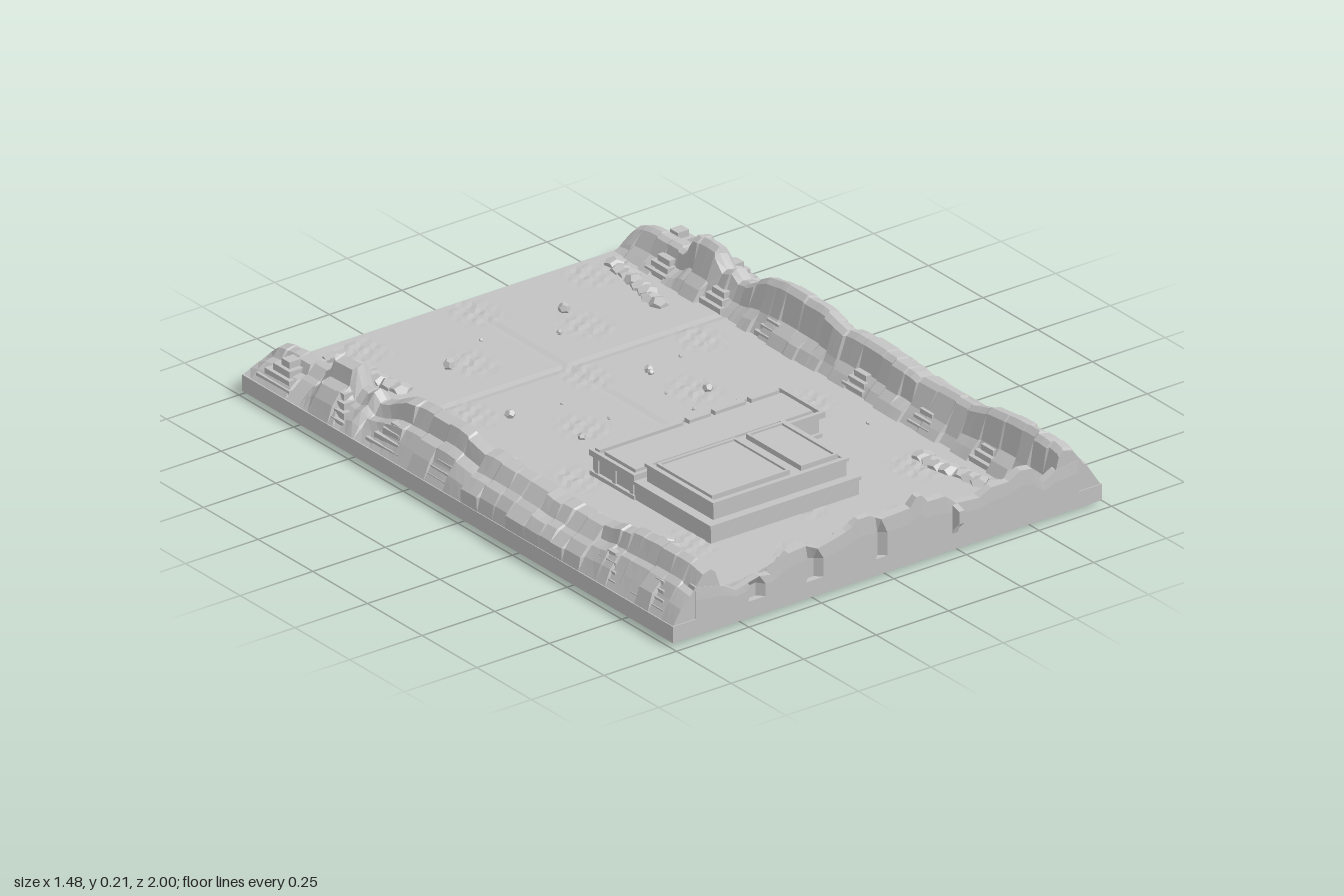
import * as THREE from 'three';

const stone = new THREE.MeshStandardMaterial({ color: 0xc2c2c2, side: THREE.DoubleSide });
stone.name = 'grey stone';
const GROUND = 0.06;

let seed = 7;
const rnd = () => (seed = (seed * 16807) % 2147483647) / 2147483647;
const jit = a => (rnd() - 0.5) * 2 * a;

function add(parent, name, geometry) {
  const mesh = new THREE.Mesh(geometry, stone);
  mesh.name = name;
  parent.add(mesh);
  return mesh;
}

function box(parent, name, x0, x1, y0, y1, z0, z1) {
  const m = add(parent, name, new THREE.BoxGeometry(x1 - x0, y1 - y0, z1 - z0));
  m.position.set((x0 + x1) / 2, (y0 + y1) / 2, (z0 + z1) / 2);
  return m;
}

// Rectangular rim with an open middle, lying flat
function frame(parent, name, x0, x1, z0, z1, y0, y1, w) {
  const rect = (C, a, b, c, d) => new C([[a, c], [b, c], [b, d], [a, d]].map(p => new THREE.Vector2(...p)));
  const s = rect(THREE.Shape, x0, x1, -z1, -z0);
  s.holes.push(rect(THREE.Path, x0 + w, x1 - w, -z1 + w, -z0 - w));
  const g = new THREE.ExtrudeGeometry(s, { depth: y1 - y0, bevelEnabled: false });
  g.rotateX(-Math.PI / 2).translate(0, y0, 0);
  return add(parent, name, g);
}

// Faceted skin over a row of cross-sections, capped at both ends
function loft(sections) {
  const out = [];
  const tri = (a, b, c) => out.push(...a, ...b, ...c);
  const n = sections[0].length;
  for (let i = 0; i + 1 < sections.length; i++) {
    const a = sections[i], b = sections[i + 1];
    for (let k = 0; k + 1 < n; k++) {
      tri(a[k], a[k + 1], b[k]);
      tri(a[k + 1], b[k + 1], b[k]);
    }
  }
  const last = sections[sections.length - 1];
  for (let k = 1; k + 1 < n; k++) {
    tri(sections[0][0], sections[0][k + 1], sections[0][k]);
    tri(last[0], last[k], last[k + 1]);
  }
  const g = new THREE.BufferGeometry();
  g.setAttribute('position', new THREE.Float32BufferAttribute(out, 3));
  g.computeVertexNormals();
  return g;
}

function sample(profile, t) {
  for (let i = 0; i + 1 < profile.length; i++) {
    const [a, ya] = profile[i], [b, yb] = profile[i + 1];
    if (t <= b) return ya + (yb - ya) * Math.max(0, (t - a) / (b - a));
  }
  return profile[profile.length - 1][1];
}

// Slab with faint ripples on top, shallow seams and low swellings below
function base() {
  const g = new THREE.BoxGeometry(1.48, 0.05, 1.97, 74, 1, 98).translate(0, 0.035, -0.015);
  const p = g.attributes.position;
  for (let i = 0; i < p.count; i++) {
    const x = p.getX(i), z = p.getZ(i);
    if (p.getY(i) > 0.03) {
      if (Math.abs(x) > 0.6 || z < -0.98) continue;
      const patch = Math.max(0, Math.sin(x * 16 + 1.5) * Math.sin(z * 12.6 + 0.6) - 0.35);
      const ripple = Math.round(2 * Math.sin(x * 70 + z * 55) * Math.sin(z * 90));
      const seam = (Math.abs(x) < 0.005 && z < 0) || Math.abs(z + 0.5) < 0.0101;
      p.setY(i, GROUND + patch * ripple * 0.003 - (seam ? 0.003 : 0));
    } else {
      let d = 0;
      for (const cx of [-0.4, 0, 0.34, 0.57]) for (const cz of [0.85, 0.35, -0.15, -0.65])
        d = Math.max(d, 1 - ((x - cx) / 0.11) ** 2 - ((z - cz) / 0.11) ** 2);
      p.setY(i, 0.01 - 0.01 * Math.min(1, d * 1.5));
    }
  }
  const flat = g.toNonIndexed();
  flat.computeVertexNormals();
  return flat;
}

// Jagged cliff along one long side
const cliffTop = [[-1, 0.1], [-0.97, 0.13], [-0.9, 0.145], [-0.73, 0.145], [-0.71, 0.205], [-0.61, 0.21],
  [-0.59, 0.15], [-0.55, 0.15], [-0.53, 0.17], [-0.5, 0.142], [-0.46, 0.155], [-0.38, 0.2], [-0.3, 0.213],
  [-0.12, 0.212], [-0.01, 0.185], [0.03, 0.19], [0.3, 0.182], [0.32, 0.175], [0.56, 0.18], [0.62, 0.2],
  [0.75, 0.213], [0.9, 0.215], [0.97, 0.2]];

function cliff(side) {
  const sections = [];
  let z = -1;
  while (z < 0.965) {
    const end = Math.min(0.97, z + 0.04 + rnd() * 0.05);
    const j = [jit(0.008), jit(0.007), jit(0.006), jit(0.012), jit(0.006)];
    const wide = z > -0.02 && z < 0.47 ? 0.02 : 0;
    for (const zz of [z + 0.003, (z + end) / 2, end - 0.003]) {
      const h = sample(cliffTop, zz) + j[4] * 0.6, r = h - GROUND;
      sections.push([[0.738, 0], [0.71 + wide + j[0], 0.32], [0.685 + wide + j[1], 0.55], [0.66 + wide, 0.62 + j[2] * 5],
        [0.64 + wide / 2 + j[1], 0.94], [0.61 + j[2], 1], [0.594 + j[2], 0.9], [0.572 + j[1], 0.38],
        [0.552 + j[3], 0.22], [0.53 + j[3], 0]].map(([x, t]) => [side * x, GROUND - 0.002 + t * r, zz]));
    }
    z = end;
  }
  return loft(sections);
}

// Wall of rock closing the front edge, flat on its outer face
const frontTop = [[-0.66, 0.16], [-0.57, 0.14], [-0.52, 0.11], [-0.44, 0.13], [-0.4, 0.122], [-0.34, 0.17], [-0.28, 0.175],
  [-0.24, 0.155], [-0.19, 0.165], [-0.13, 0.18], [-0.1, 0.203], [-0.05, 0.203], [-0.03, 0.18], [0.08, 0.185],
  [0.1, 0.213], [0.12, 0.213], [0.14, 0.187], [0.2, 0.185], [0.24, 0.152], [0.32, 0.145], [0.36, 0.165], [0.42, 0.165],
  [0.46, 0.187], [0.51, 0.18], [0.53, 0.12], [0.58, 0.15], [0.66, 0.16]];

function frontWall() {
  const sections = [];
  for (let i = 0; i <= 66; i++) {
    const x = -0.66 + i * 0.02, h = sample(frontTop, x), r = h - GROUND, j = jit(0.012);
    const dent = [-0.45, -0.25, -0.02].some(c => Math.abs(x - c) < 0.011) ? 0.02 : 0;
    sections.push([[0.97 - dent, 0], [0.97 - dent, 0.6], [0.968, 0.98], [0.945 + j / 2, 1], [0.925 + j / 2, 0.65],
      [0.9 + j, 0.55], [0.885 + j, 0.25], [0.86 + j, 0.18], [0.85 + j, 0]]
      .map(([z, t]) => [x, GROUND - 0.002 + t * r, z]));
  }
  return loft(sections);
}

function building() {
  const g = new THREE.Group();
  g.name = 'building';
  // Main block in two tiers
  box(g, 'lowerTier', -0.345, 0.165, 0.055, 0.115, 0.27, 0.62);
  frame(g, 'lowerLedge', -0.35, 0.17, 0.27, 0.625, 0.106, 0.117, 0.03);
  box(g, 'upperTier', -0.32, 0.14, 0.11, 0.165, 0.295, 0.598);
  frame(g, 'roofRim', -0.325, 0.145, 0.29, 0.603, 0.162, 0.172, 0.015);
  for (const [x0, x1] of [[-0.31, -0.04], [-0.002, 0.125]]) {
    box(g, 'roofPanel', x0 + 0.01, x1 - 0.01, 0.16, 0.176, 0.335, 0.568);
    frame(g, 'roofPanelRim', x0, x1, 0.325, 0.578, 0.16, 0.181, 0.008);
  }
  // Long rear wing
  box(g, 'wing', -0.34, 0.29, 0.055, 0.128, 0.085, 0.265);
  frame(g, 'wingRim', -0.35, 0.31, 0.07, 0.275, 0.118, 0.136, 0.012);
  box(g, 'wingRoof', -0.33, 0.28, 0.12, 0.14, 0.115, 0.255);
  box(g, 'wingPlinth', -0.35, 0.3, 0.055, 0.072, 0.072, 0.275);
  for (const [x0, x1] of [[-0.34, -0.05], [-0.03, 0.045], [0.06, 0.165], [0.185, 0.28]])
    box(g, 'parapet', x0, x1, 0.13, 0.143, 0.083, 0.104);
  for (const x of [-0.34, -0.2, -0.06, 0.05, 0.17, 0.28])
    box(g, 'pillar', x, x + 0.018, 0.06, 0.122, 0.074, 0.09);
  for (const z of [0.09, 0.17, 0.25]) for (const x of [-0.346, 0.286])
    box(g, 'sidePillar', x, x + 0.01, 0.06, 0.122, z, z + 0.015);
  return g;
}

export function createModel() {
  const model = new THREE.Group();
  model.name = 'walledSite';
  add(model, 'groundSlab', base());
  add(model, 'frontWall', frontWall());
  // Pointed spur on the front wall
  add(model, 'spur', loft([0.225, 0.243].map(x =>
    [[0.96, 0.06], [0.97, 0.06], [0.98, 0.09], [1, 0.1], [1, 0.138], [0.96, 0.15]].map(([z, y]) => [x, y, z]))));

  for (const side of [-1, 1]) {
    const tag = side < 0 ? 'right' : 'left';
    add(model, tag + 'Cliff', cliff(side));
    const block = (name, a, b, ...rest) => box(model, name, Math.min(side * a, side * b), Math.max(side * a, side * b), ...rest);
    // Stepped outcrops on the outer and inner faces
    for (const z of [0.83, 0.61, -0.13, -0.38, -0.63, -0.88]) {
      for (let k = 0; k < 4; k++) {
        const w = 0.075 - k * 0.015;
        block('outcrop', 0.65, 0.725 - k * 0.012, GROUND - 0.005, 0.08 + k * 0.02, z - w + k * 0.008, z + w);
      }
    }
    for (const z of [0.68, 0.4, 0.1, -0.3, -0.55, -0.8])
      for (let k = 0; k < 3; k++)
        block('innerLedge', 0.535 + k * 0.013, 0.6, GROUND - 0.005, 0.076 + k * 0.018, z - 0.05 + k * 0.012, z + 0.045 - k * 0.008);
    // Low heaps of rubble beside the cliffs
    for (const [z0, z1] of [[-0.93, -0.66], [0.54, 0.8]])
      for (let k = 0; k < 8; k++) {
        const m = add(model, 'rubble', new THREE.DodecahedronGeometry(0.03));
        const t = k / 7;
        m.position.set(side * (0.49 - 0.045 * (z0 < 0 ? t : 1 - t) + jit(0.012)), GROUND, z0 + (z1 - z0) * t);
        m.scale.set(1, 0.5 + rnd() * 0.35, 1.2);
        m.rotation.y = rnd() * 3;
      }
  }

  // Loose stones on the open ground
  for (const [x, z, r] of [[-0.26, -0.69, 0.018], [-0.245, -0.705, 0.012], [0.205, -0.78, 0.018], [-0.09, -0.77, 0.006],
    [0.11, -0.675, 0.009], [-0.31, -0.345, 0.016], [-0.15, -0.32, 0.005], [0.165, -0.34, 0.014], [0.16, -0.325, 0.01],
    [0.29, -0.36, 0.006], [-0.1, -0.17, 0.006], [0.225, -0.15, 0.016], [-0.235, -0.115, 0.012], [0.12, -0.075, 0.006],
    [0.25, -0.045, 0.005], [-0.235, 0.015, 0.012], [0.12, -0.2, 0.005], [0.45, 0.285, 0.006], [-0.04, 0.78, 0.006]]) {
    const m = add(model, 'stone', new THREE.DodecahedronGeometry(r));
    m.position.set(x, GROUND + r * 0.5, z);
    m.rotation.set(x * 9, z * 9, 0);
  }

  model.add(building());
  return model;
}
